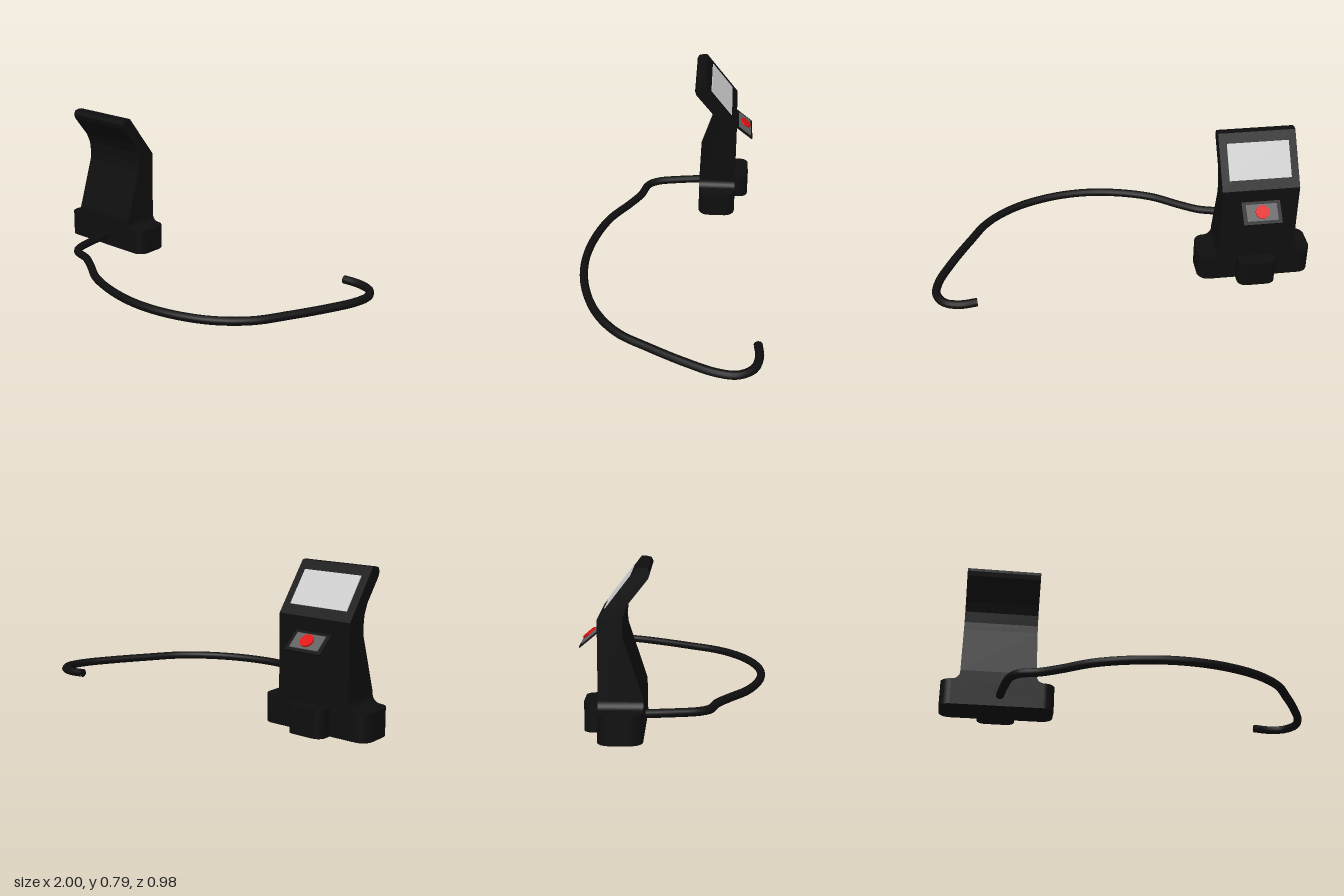
import * as THREE from 'three';

const black = new THREE.MeshStandardMaterial({ color: 0x0e0e0e });
const grey = new THREE.MeshStandardMaterial({ color: 0xcccccc });
const darkGrey = new THREE.MeshStandardMaterial({ color: 0x606060 });
const red = new THREE.MeshStandardMaterial({ color: 0xe01010 });

const CX = -0.7; // centre of the stand across x

function mesh(name, geometry, material) {
  const m = new THREE.Mesh(geometry, material);
  m.name = name;
  return m;
}

// Plan outline with rounded corners, raised to height h
function roundedSlab(x0, x1, z0, z1, r, h) {
  const s = new THREE.Shape();
  const a = -z1, b = -z0; // shape y becomes -z
  s.moveTo(x0 + r, a);
  s.lineTo(x1 - r, a);
  s.absarc(x1 - r, a + r, r, -Math.PI / 2, 0);
  s.absarc(x1 - r, b - r, r, 0, Math.PI / 2);
  s.absarc(x0 + r, b - r, r, Math.PI / 2, Math.PI);
  s.absarc(x0 + r, a + r, r, Math.PI, Math.PI * 1.5);
  const g = new THREE.ExtrudeGeometry(s, { depth: h, bevelEnabled: false, curveSegments: 8 });
  return g.rotateX(-Math.PI / 2);
}

// Panel lying on a sloped face; local +z is the face normal
function slopedPanel(name, geometry, material, y, z, angle) {
  const m = mesh(name, geometry, material);
  m.position.set(CX, y, z);
  m.rotation.set(angle, Math.PI, 0, 'XYZ');
  return m;
}

export function createModel() {
  const model = new THREE.Group();
  model.name = 'terminalStand';

  // Foot with a rounded lug at the back
  model.add(mesh('base', roundedSlab(-1, -0.4, -0.338, -0.13, 0.058, 0.14), black));
  model.add(mesh('rearLug', roundedSlab(-0.8, -0.6, -0.415, -0.28, 0.045, 0.14), black));

  // Upright body: side profile in (z, y), extruded across x
  const profile = [
    [-0.13, 0.0], [-0.13, 0.19], [-0.22, 0.47], [-0.225, 0.515], [-0.218, 0.575],
    [-0.195, 0.628], [-0.106, 0.74], [-0.098, 0.765], [-0.107, 0.785], [-0.13, 0.791],
    [-0.155, 0.791], [-0.337, 0.555], [-0.337, 0.0],
  ];
  const side = new THREE.Shape(profile.map(([z, y]) => new THREE.Vector2(-z, y)));
  const bodyGeo = new THREE.ExtrudeGeometry(side, { depth: 0.4, bevelEnabled: false });
  bodyGeo.rotateY(Math.PI / 2).translate(CX - 0.2, 0, 0);
  model.add(mesh('body', bodyGeo, black));

  // Concave fillets between body and foot
  for (const s of [-1, 1]) {
    const f = new THREE.Shape();
    f.moveTo(0, 0);
    f.lineTo(0.042, 0);
    f.absarc(0.042, 0.042, 0.042, -Math.PI / 2, -Math.PI, true);
    f.lineTo(0, 0);
    const g = new THREE.ExtrudeGeometry(f, { depth: 0.207, bevelEnabled: false, curveSegments: 8 });
    if (s < 0) g.rotateY(Math.PI).translate(0, 0, 0.207);
    const fillet = mesh(s > 0 ? 'leftFillet' : 'rightFillet', g, black);
    fillet.position.set(CX + s * 0.2, 0.14, -0.337);
    model.add(fillet);
  }

  // Screen on the sloped back face
  const screenTilt = Math.atan2(0.182, 0.236);
  model.add(slopedPanel('screen', new THREE.BoxGeometry(0.32, 0.19, 0.006), grey,
    0.674, -0.247, screenTilt));

  // Button shelf: carrier, grey plate and red button stacked along the normal
  const shelf = new THREE.Group();
  shelf.name = 'buttonShelf';
  shelf.position.set(CX, 0.445, -0.382);
  shelf.rotation.x = -Math.atan2(0.077, 0.092);
  const carrier = mesh('buttonCarrier', new THREE.BoxGeometry(0.2, 0.006, 0.12), black);
  const plate = mesh('buttonPlate', new THREE.BoxGeometry(0.16, 0.006, 0.088), darkGrey);
  plate.position.y = 0.005;
  const button = mesh('button', new THREE.CylinderGeometry(0.035, 0.035, 0.008, 24), red);
  button.position.y = 0.014;
  shelf.add(carrier, plate, button);
  model.add(shelf);

  // Cable leaving the front of the foot and curling round
  const path = [
    [-0.69, 0.06, -0.16], [-0.67, 0.06, 0], [-0.645, 0.06, 0.12], [-0.605, 0.06, 0.175],
    [-0.5, 0.06, 0.21], [-0.4, 0.059, 0.27], [-0.25, 0.058, 0.37], [-0.05, 0.056, 0.44],
    [0.15, 0.054, 0.465], [0.35, 0.053, 0.44], [0.55, 0.053, 0.36], [0.7, 0.055, 0.235],
    [0.8, 0.058, 0.07], [0.9, 0.062, -0.12], [0.963, 0.065, -0.27], [0.974, 0.067, -0.37],
    [0.93, 0.069, -0.445], [0.85, 0.071, -0.471], [0.765, 0.074, -0.465],
  ].map((p) => new THREE.Vector3(...p));
  const curve = new THREE.CatmullRomCurve3(path);
  model.add(mesh('cable', new THREE.TubeGeometry(curve, 110, 0.022, 12), black));

  // Flat caps closing the cable
  for (const t of [0, 1]) {
    const cap = mesh('cableEnd', new THREE.CircleGeometry(0.022, 12), black);
    cap.position.copy(curve.getPoint(t));
    const dir = curve.getTangent(t).multiplyScalar(t ? 1 : -1);
    cap.quaternion.setFromUnitVectors(new THREE.Vector3(0, 0, 1), dir);
    model.add(cap);
  }
  return model;
}
